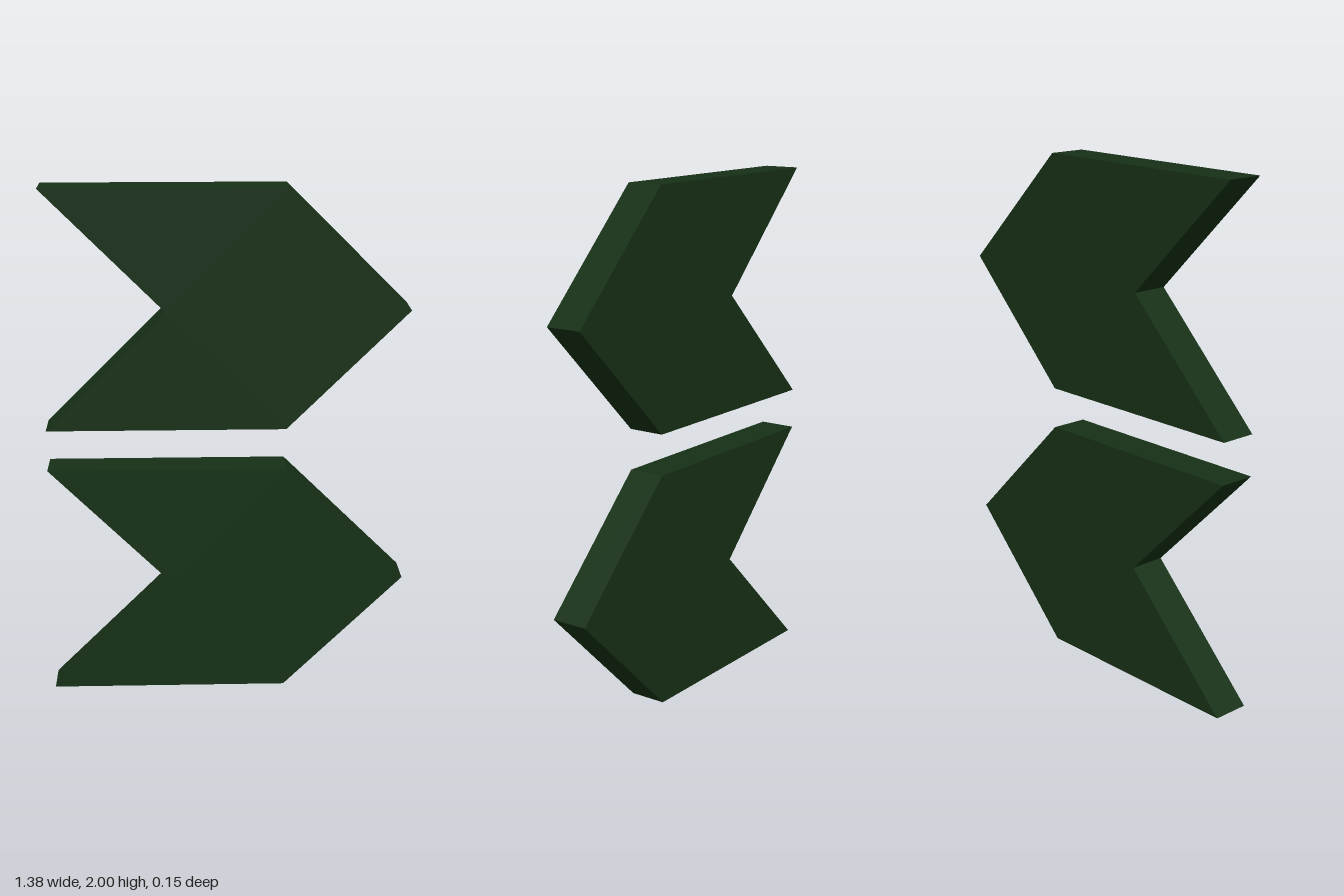
import * as THREE from 'three';

const DEPTH = 0.146;
const HALF_HEIGHT = 0.46;

export function createModel() {
  const group = new THREE.Group();
  group.name = 'doubleChevron';
  const material = new THREE.MeshStandardMaterial({ color: 0x163016 });

  // Arrow-shaped plate pointing towards +x, centred on its own origin
  const outline = new THREE.Shape([
    [-0.69, -HALF_HEIGHT], [0.226, -HALF_HEIGHT], [0.69, 0],
    [0.226, HALF_HEIGHT], [-0.69, HALF_HEIGHT], [-0.23, 0],
  ].map(([x, y]) => new THREE.Vector2(x, y)));
  const geometry = new THREE.ExtrudeGeometry(outline, { depth: DEPTH, bevelEnabled: false });
  geometry.translate(0, 0, -DEPTH / 2);

  // Two identical plates, one above the other
  for (const [name, y] of [['lowerChevron', HALF_HEIGHT], ['upperChevron', 2 - HALF_HEIGHT]]) {
    const chevron = new THREE.Mesh(geometry, material);
    chevron.name = name;
    chevron.position.y = y;
    group.add(chevron);
  }
  return group;
}
